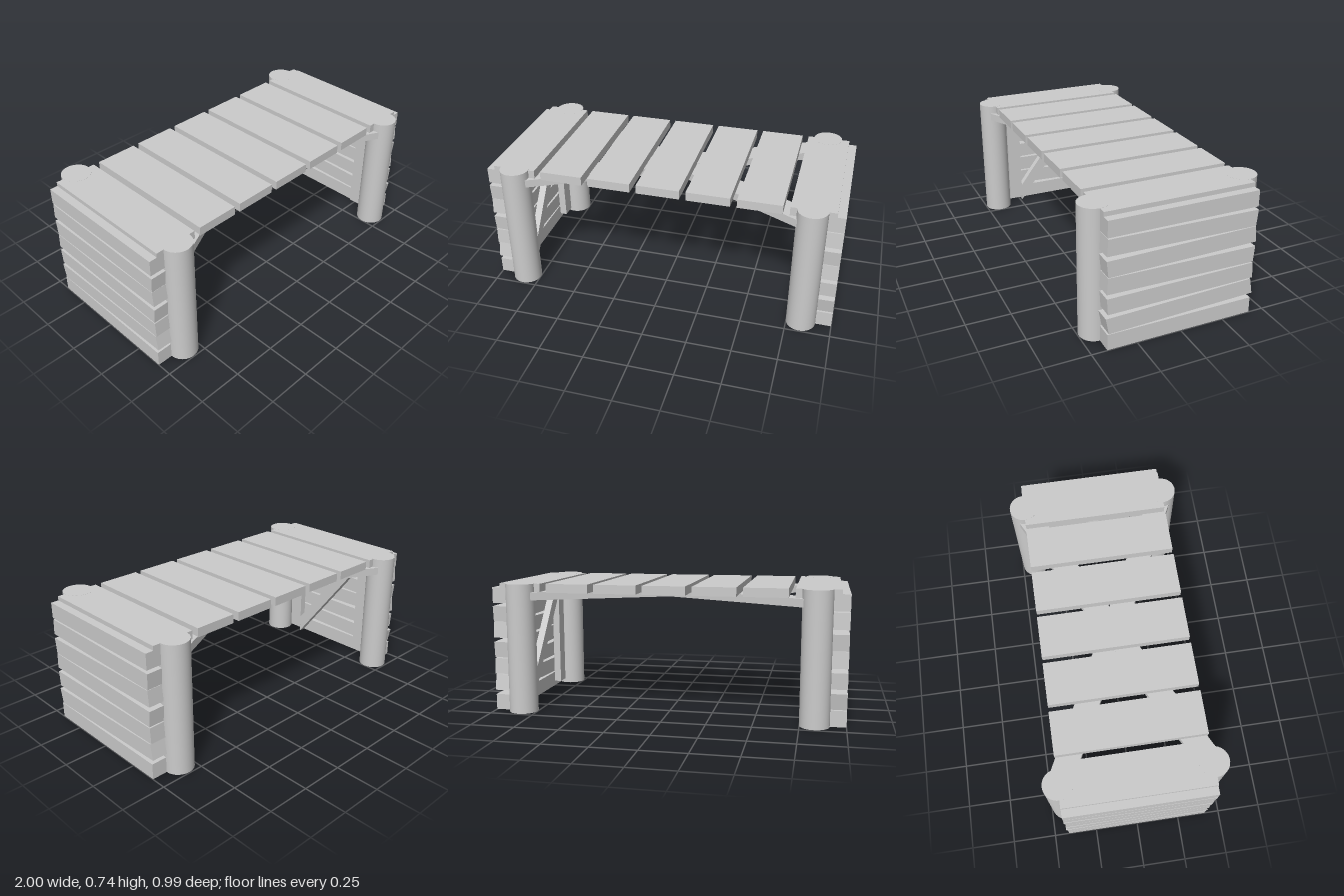
import * as THREE from 'three';

const material = new THREE.MeshStandardMaterial({ color: 0xcccccc });

function add(parent, name, geometry, x = 0, y = 0, z = 0) {
  const mesh = new THREE.Mesh(geometry, material);
  mesh.name = name;
  mesh.position.set(x, y, z);
  parent.add(mesh);
  return mesh;
}

// Flat board in the z-y plane: outline given as (-z, y), thickness from x0 to x1
function endBoard(points, x0, x1) {
  const shape = new THREE.Shape(points.map(([s, y]) => new THREE.Vector2(s, y)));
  const geometry = new THREE.ExtrudeGeometry(shape, { depth: x1 - x0, bevelEnabled: false });
  return geometry.rotateY(Math.PI / 2).translate(x0, 0, 0);
}

// One end: two round posts, battens, a diagonal brace and seven uneven planks
function makeEnd(name) {
  const end = new THREE.Group();
  end.name = name;
  for (const side of [1, -1]) {
    add(end, 'post', new THREE.CylinderGeometry(0.082, 0.082, 0.74, 40), 0.83, 0.37, side * 0.415);
    add(end, 'batten', new THREE.BoxGeometry(0.045, 0.67, 0.085), 0.868, 0.365, side * 0.278);
  }

  const braceY = s => 0.36 - 1.3 * s;
  const b = 0.236, h = 0.055;
  add(end, 'endBrace', endBoard([
    [-b, braceY(-b) - h], [b, braceY(b) - h], [b, braceY(b) + h], [-b, braceY(-b) + h],
  ], 0.846, 0.89));

  // Centre height and rise along the length of each plank
  const planks = [
    [0.045, 0], [0.15, 0.024], [0.254, 0.008], [0.359, -0.01],
    [0.463, 0.013], [0.567, -0.01], [0.67, 0],
  ];
  for (const [y, rise] of planks) {
    const corners = [[-1, -1], [1, -1], [1, 1], [-1, 1]].map(([i, j]) => [
      i * 0.415 - j * 0.35 * rise,
      y + j * 0.045 + i * rise / 2,
    ]);
    add(end, 'endPlank', endBoard(corners, 0.888, 1));
  }
  return end;
}

export function createModel() {
  const model = new THREE.Group();
  model.name = 'plankBench';

  const leftEnd = makeEnd('leftEnd');
  const rightEnd = makeEnd('rightEnd');
  rightEnd.rotation.y = Math.PI;
  model.add(leftEnd, rightEnd);

  // Seat planks
  for (let i = -3; i <= 3; i++) {
    add(model, 'seatPlank', new THREE.BoxGeometry(0.242, 0.05, 0.83), i * 0.278, 0.7145, 0);
  }

  // Crossed beams under the seat, running from post to post
  const angle = Math.atan2(0.415, 0.83);
  for (const side of [1, -1]) {
    const beam = add(model, 'crossBeam', new THREE.BoxGeometry(1.78, 0.045, 0.13), 0, 0.669 + side * 0.002, 0);
    beam.rotation.y = side * angle;
  }
  return model;
}
